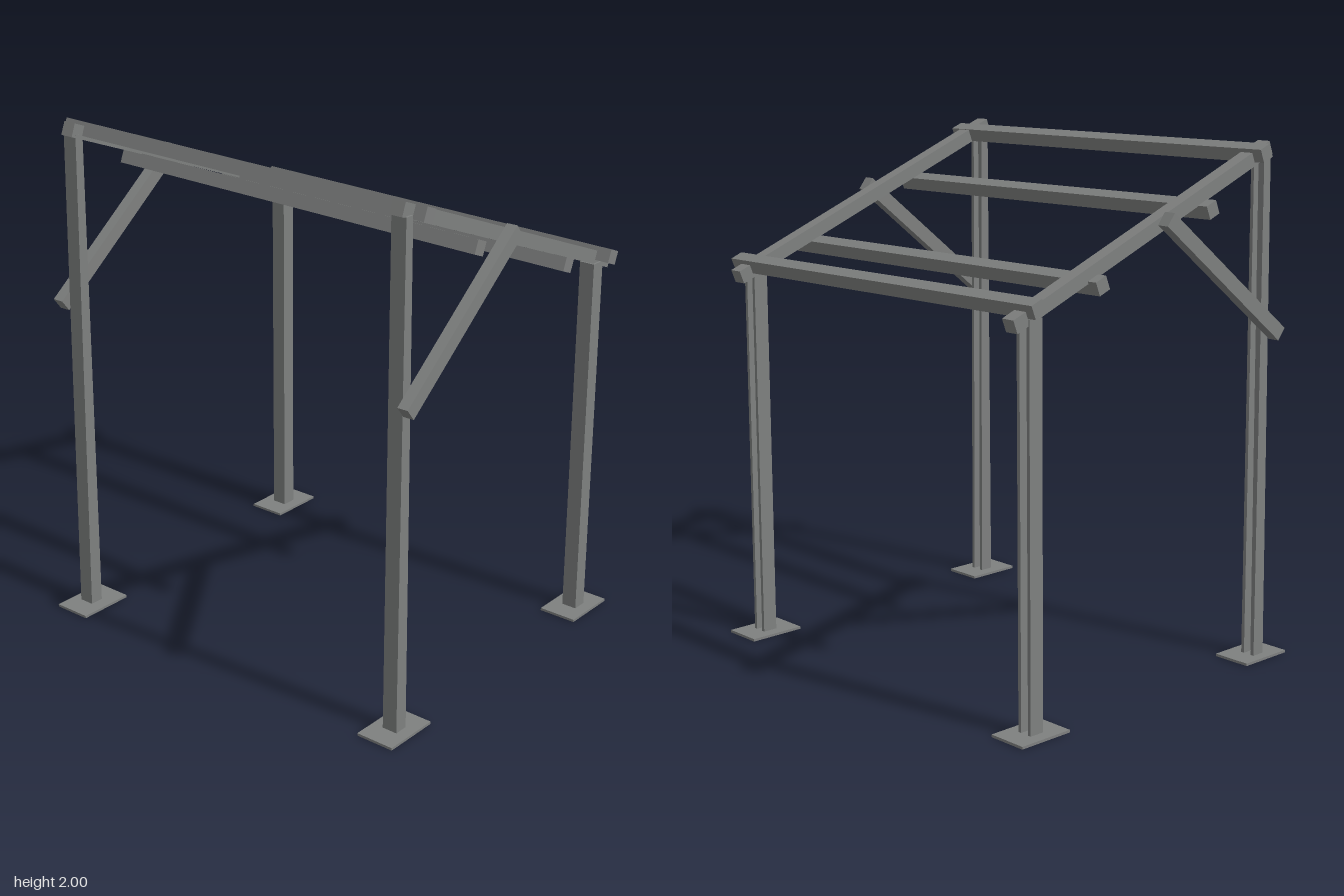
import * as THREE from 'three';

const V = (x, y, z) => new THREE.Vector3(x, y, z);

export function createModel() {
  const group = new THREE.Group();
  const steel = new THREE.MeshStandardMaterial({ color: 0x7e807f });
  steel.name = 'grey steel';

  const add = (name, geometry) => {
    const mesh = new THREE.Mesh(geometry, steel);
    mesh.name = name;
    group.add(mesh);
    return mesh;
  };

  // Square bar from a to b; "up" sets the roll of its section
  const beam = (name, a, b, width, height, up) => {
    const dir = b.clone().sub(a);
    const geometry = new THREE.BoxGeometry(width, height, dir.length());
    const z = dir.normalize();
    const x = up.clone().cross(z).normalize();
    const y = z.clone().cross(x);
    geometry.applyMatrix4(new THREE.Matrix4().makeBasis(x, y, z));
    add(name, geometry).position.copy(a).add(b).multiplyScalar(0.5);
  };

  // Channel post, open to the back, leaning from its foot to its top
  const post = (name, foot, top, depth, topDepth) => {
    const w = 0.031, t = 0.014;
    const s = new THREE.Shape([
      [-w, -0.5], [-w + t, -0.5], [-w + t, 0.2], [w - t, 0.2],
      [w - t, -0.5], [w, -0.5], [w, 0.5], [-w, 0.5],
    ].map(([x, y]) => new THREE.Vector2(x, y)));
    const geometry = new THREE.ExtrudeGeometry(s, { depth: 1, bevelEnabled: false });
    const p = geometry.attributes.position;
    for (let i = 0; i < p.count; i++) {
      const k = 1 - p.getZ(i);
      const c = foot.clone().lerp(top, k);
      const d = THREE.MathUtils.lerp(depth, topDepth, k);
      p.setXYZ(i, c.x + p.getX(i), c.y, c.z + p.getY(i) * d);
    }
    geometry.computeVertexNormals();
    add(name, geometry);
  };

  // Posts with their base plates
  [
    ['frontRight', -0.772, 0.605, -0.766, 1.95, 0.585, 0.055, 0.036],
    ['frontLeft', 0.772, 0.59, 0.772, 1.94, 0.583, 0.055, 0.036],
    ['backRight', -0.78, -0.597, -0.77, 1.48, -0.6, 0.06, 0.06],
    ['backLeft', 0.755, -0.608, 0.762, 1.47, -0.605, 0.06, 0.06],
  ].forEach(([name, x, z, tx, ty, tz, d, td]) => {
    post(name + 'Post', V(x, 0.005, z), V(tx, ty, tz), d, td);
    const px = name === 'frontRight' ? -0.765 : x;
    add(name + 'BasePlate', new THREE.BoxGeometry(0.156, 0.01, 0.23)).position.set(px, 0.005, z);
  });

  // Sloping rafters
  const slopeUp = V(0, 0.929, -0.37);
  beam('rightRafter', V(-0.763, 1.972, 0.612), V(-0.77, 1.46, -0.69), 0.055, 0.052, slopeUp);
  beam('leftRafter', V(0.768, 1.967, 0.605), V(0.757, 1.453, -0.695), 0.055, 0.052, slopeUp);

  // Cross purlins, rolled to the roof slope
  [
    ['frontPurlin', 1.958, 0.535, 1.937, 0.525],
    ['upperPurlin', 1.775, 0.245, 1.752, 0.235],
    ['lowerPurlin', 1.562, -0.315, 1.545, -0.322],
    ['backPurlin', 1.517, -0.618, 1.497, -0.628],
  ].forEach(([name, y0, z0, y1, z1]) =>
    beam(name, V(-0.835, y0, z0), V(0.842, y1, z1), 0.053, 0.053, slopeUp));

  // Diagonal braces from the tall posts to the rafters
  const braceUp = V(0, 0.79, 0.61);
  beam('rightBrace', V(-0.823, 1.277, 0.636), V(-0.834, 1.763, 0), 0.046, 0.056, braceUp);
  beam('leftBrace', V(0.829, 1.265, 0.625), V(0.82, 1.757, 0), 0.044, 0.056, braceUp);

  return group;
}
